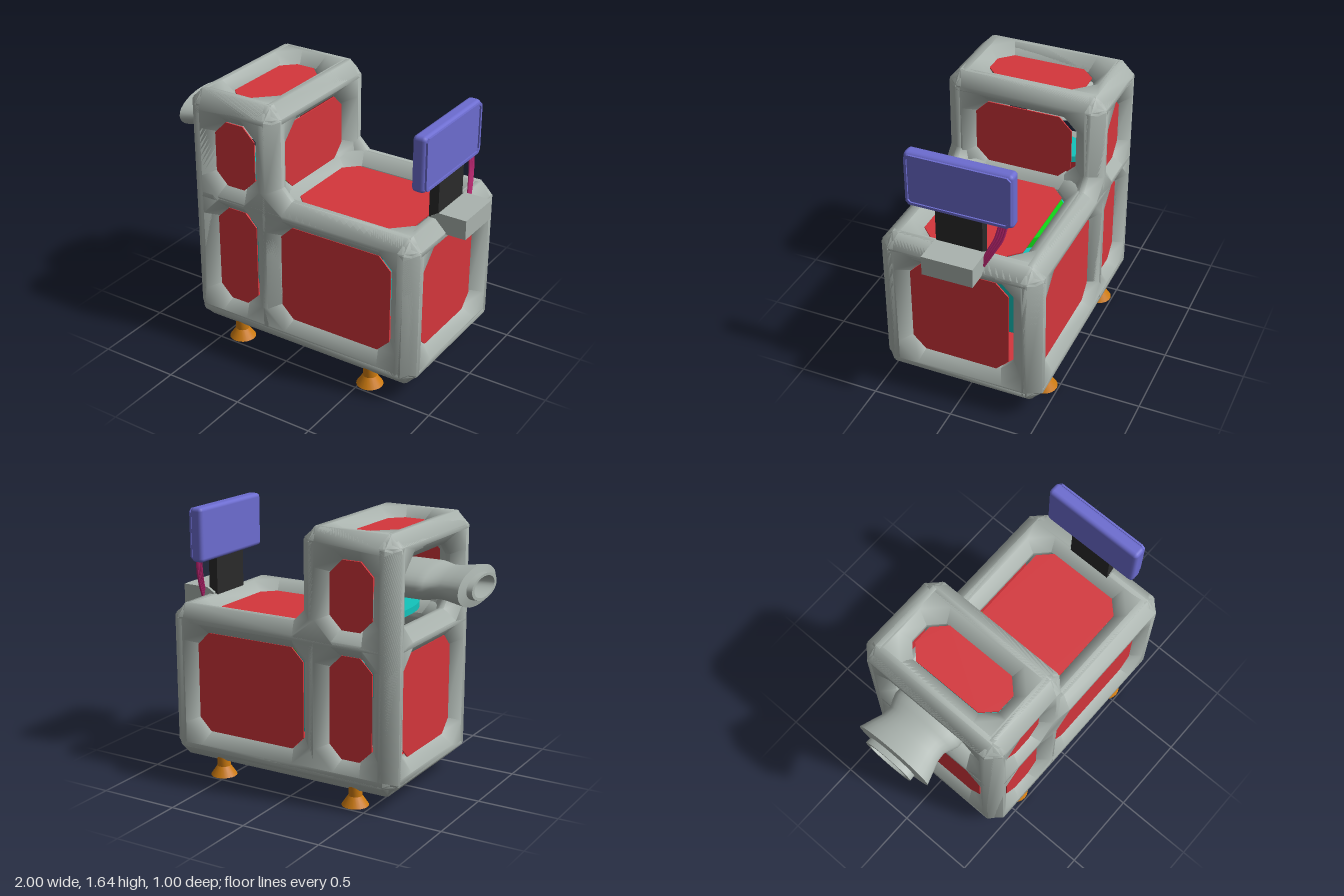
import * as THREE from 'three';
import { toCreasedNormals } from 'three/addons/utils/BufferGeometryUtils.js';
import { RoundedBoxGeometry } from 'three/addons/geometries/RoundedBoxGeometry.js';

const mat = (name, color, side = THREE.FrontSide) => {
  const m = new THREE.MeshStandardMaterial({ color, side });
  m.name = name;
  return m;
};

// Rectangle with chamfered corners, as points
const octagon = ([u0, u1, v0, v1], c = 0.08) => [
  [u0 + c, v0], [u1 - c, v0], [u1, v0 + c], [u1, v1 - c],
  [u1 - c, v1], [u0 + c, v1], [u0, v1 - c], [u0, v0 + c],
].map(([x, y]) => new THREE.Vector2(x, y));

// Turns a flat piece drawn in (x, y) into its plane and moves it along that axis
function place(geo, axis, pos) {
  if (axis === 'x') geo.rotateY(-Math.PI / 2).translate(pos, 0, 0); // drawn as (z, y)
  else if (axis === 'y') geo.rotateX(Math.PI / 2).translate(0, pos, 0); // drawn as (x, z)
  else geo.translate(0, 0, pos); // drawn as (x, y)
  return geo;
}

// Lattice of chamfered bars: an outline with windows, bevelled all round
function lattice(outline, windows, axis, pos) {
  const shape = new THREE.Shape(outline);
  for (const w of windows) shape.holes.push(new THREE.Path(octagon(w)));
  const geo = new THREE.ExtrudeGeometry(shape, {
    depth: 0.03, bevelEnabled: true, bevelSegments: 1,
    bevelSize: 0.07, bevelThickness: 0.07, bevelOffset: -0.07,
  }).translate(0, 0, -0.015);
  return place(toCreasedNormals(geo, 0.9), axis, pos);
}

function panel(rect, axis, pos) {
  const geo = new THREE.ExtrudeGeometry(new THREE.Shape(octagon(rect)), { depth: 0.008, bevelEnabled: false });
  return place(geo.translate(0, 0, -0.004), axis, pos);
}

export function createModel() {
  const model = new THREE.Group();
  model.name = 'machine';
  const grey = mat('frameGrey', 0xaab3ae);
  const greyOpen = mat('nozzleGrey', 0xaab3ae, THREE.DoubleSide);
  const red = mat('panelRed', 0xd4363c);
  const orange = mat('footOrange', 0xcc7a10);
  const blue = mat('screenBlue', 0x6c6cd0);
  const black = mat('postBlack', 0x2a2a2a);
  const magenta = mat('cableMagenta', 0xb8246f);
  const teal = mat('innerTeal', 0x12c4bc);
  const green = mat('innerGreen', 0x10d818);

  const add = (name, geo, material, parent = model) => {
    const mesh = new THREE.Mesh(geo, material);
    mesh.name = name;
    parent.add(mesh);
    return mesh;
  };

  // Window spans
  const xs = [[-0.52, -0.24], [-0.06, 0.69]];
  const low = [0.28, 0.91], high = [1.06, 1.47], zs = [-0.32, 0.32];

  // Frame
  const frame = new THREE.Group();
  frame.name = 'frame';
  model.add(frame);
  const profile = [
    [-0.61, 0.1], [0.79, 0.1], [0.87, 0.18], [0.87, 0.99], [0.79, 1.07], [0.01, 1.07],
    [-0.06, 1.14], [-0.06, 1.56], [-0.14, 1.64], [-0.61, 1.64], [-0.69, 1.56], [-0.69, 0.18],
  ].map(([x, y]) => new THREE.Vector2(x, y));
  const faceWindows = [[...xs[0], ...low], [...xs[0], ...high], [...xs[1], ...low]];
  for (const z of [-0.415, 0.415]) add('longSideFrame', lattice(profile, faceWindows, 'z', z), grey, frame);

  const tall = octagon([-0.5, 0.5, 0.1, 1.64]);
  for (const x of [-0.605, -0.145])
    add('towerCrossFrame', lattice(tall, [[...zs, ...low], [...zs, ...high]], 'x', x), grey, frame);
  add('endFrame', lattice(octagon([-0.5, 0.5, 0.1, 1.07]), [[...zs, ...low]], 'x', 0.785), grey, frame);

  const floorWindows = xs.map((x) => [...x, ...zs]);
  for (const y of [0.185, 0.985])
    add('levelFrame', lattice(octagon([-0.69, 0.87, -0.5, 0.5]), floorWindows, 'y', y), grey, frame);
  add('towerTopFrame', lattice(octagon([-0.69, -0.06, -0.5, 0.5]), [floorWindows[0]], 'y', 1.555), grey, frame);

  // Panels, set in the windows
  const panels = new THREE.Group();
  panels.name = 'panels';
  model.add(panels);
  for (const z of [-0.44, 0.44])
    for (const w of faceWindows) add('longSidePanel', panel(w, 'z', z), red, panels);
  const zPanel = [-0.295, 0.32];
  for (const x of xs) add('floorPanel', panel([...x, ...zPanel], 'y', 0.16), red, panels);
  add('deckPanel', panel([...xs[1], ...zPanel], 'y', 1.005), red, panels);
  add('towerTopPanel', panel([...xs[0], ...zPanel], 'y', 1.58), red, panels);
  add('endPanel', panel([...zPanel, ...low], 'x', 0.81), red, panels);
  add('rearEndPanel', panel([...zPanel, ...low], 'x', -0.63), red, panels);
  add('towerWallPanel', panel([...zPanel, ...high], 'x', -0.12), red, panels);

  // Feet
  const footProfile = [[0, 0], [0.082, 0], [0.042, 0.06], [0.042, 0.15], [0, 0.15]]
    .map(([r, y]) => new THREE.Vector2(r, y));
  const footGeo = toCreasedNormals(new THREE.LatheGeometry(footProfile, 20), 0.5);
  for (const x of [-0.395, 0.545])
    for (const z of [-0.41, 0.41]) add('foot', footGeo, orange).position.set(x, 0, z);

  // Oval nozzle flaring out of the tower
  const nozzleProfile = [
    [0.24, 0.5], [0.24, 0.68], [0.225, 0.72], [0.205, 0.76], [0.21, 0.82], [0.235, 0.89], [0.257, 0.955],
    [0.167, 0.965], [0.167, 1.0], [0.135, 1.0], [0.125, 0.9], [0.125, 0.6],
  ].map(([r, y]) => new THREE.Vector2(r, y));
  const nozzleGeo = new THREE.LatheGeometry(nozzleProfile, 32);
  nozzleGeo.rotateZ(Math.PI / 2).scale(1, 0.45, 1).translate(0, 1.31, -0.015);
  add('nozzle', toCreasedNormals(nozzleGeo, 0.7), greyOpen);

  // Bracket and screen post
  const bracketShape = new THREE.Shape([
    [0.77, 1.04], [0.83, 0.99], [0.995, 0.99], [0.995, 1.11], [0.82, 1.11], [0.77, 1.08],
  ].map(([x, y]) => new THREE.Vector2(x, y)));
  add('bracket', new THREE.ExtrudeGeometry(bracketShape, { depth: 0.31, bevelEnabled: false }), grey)
    .position.z = -0.163;
  add('screenPost', new THREE.BoxGeometry(0.06, 0.3, 0.285), black).position.set(0.785, 1.17, 0);

  // Screen with a thin raised rim
  add('screen', new RoundedBoxGeometry(0.085, 0.34, 0.65, 2, 0.025), blue).position.set(0.775, 1.47, 0);
  const rimShape = new THREE.Shape(octagon([-0.315, 0.315, 1.31, 1.63], 0.02));
  rimShape.holes.push(new THREE.Path(octagon([-0.3, 0.3, 1.325, 1.615], 0.015)));
  const rim = new THREE.ExtrudeGeometry(rimShape, { depth: 0.012, bevelEnabled: false });
  add('screenRim', place(rim, 'x', 0.827), blue);

  // Cables from screen to bracket
  for (let i = 0; i < 4; i++) {
    const path = new THREE.CatmullRomCurve3([
      new THREE.Vector3(0.8, 1.32, -0.285 + i * 0.014),
      new THREE.Vector3(0.815, 1.22, -0.262 + i * 0.014),
      new THREE.Vector3(0.835, 1.13, -0.215 + i * 0.012),
      new THREE.Vector3(0.85, 1.04, -0.165 + i * 0.008),
    ]);
    add('cable', new THREE.TubeGeometry(path, 12, 0.008, 6), magenta);
  }

  // Machinery inside the frame
  add('innerCore', new THREE.BoxGeometry(0.95, 0.5, 0.5), teal).position.set(0.05, 0.57, 0);
  add('innerDisc', new THREE.CylinderGeometry(0.32, 0.32, 0.06, 32), green).position.set(0.11, 0.87, -0.01);
  add('innerKnob', new THREE.SphereGeometry(0.05, 12, 8), green).position.set(0.3, 0.54, -0.265);
  add('towerColumn', new THREE.CylinderGeometry(0.08, 0.08, 0.27, 20), green).position.set(-0.38, 0.95, 0);
  add('towerDisc', new THREE.CylinderGeometry(0.32, 0.32, 0.04, 32), teal).position.set(-0.37, 1.09, 0);
  model.getObjectByName('towerDisc').scale.x = 0.45;

  return model;
}
